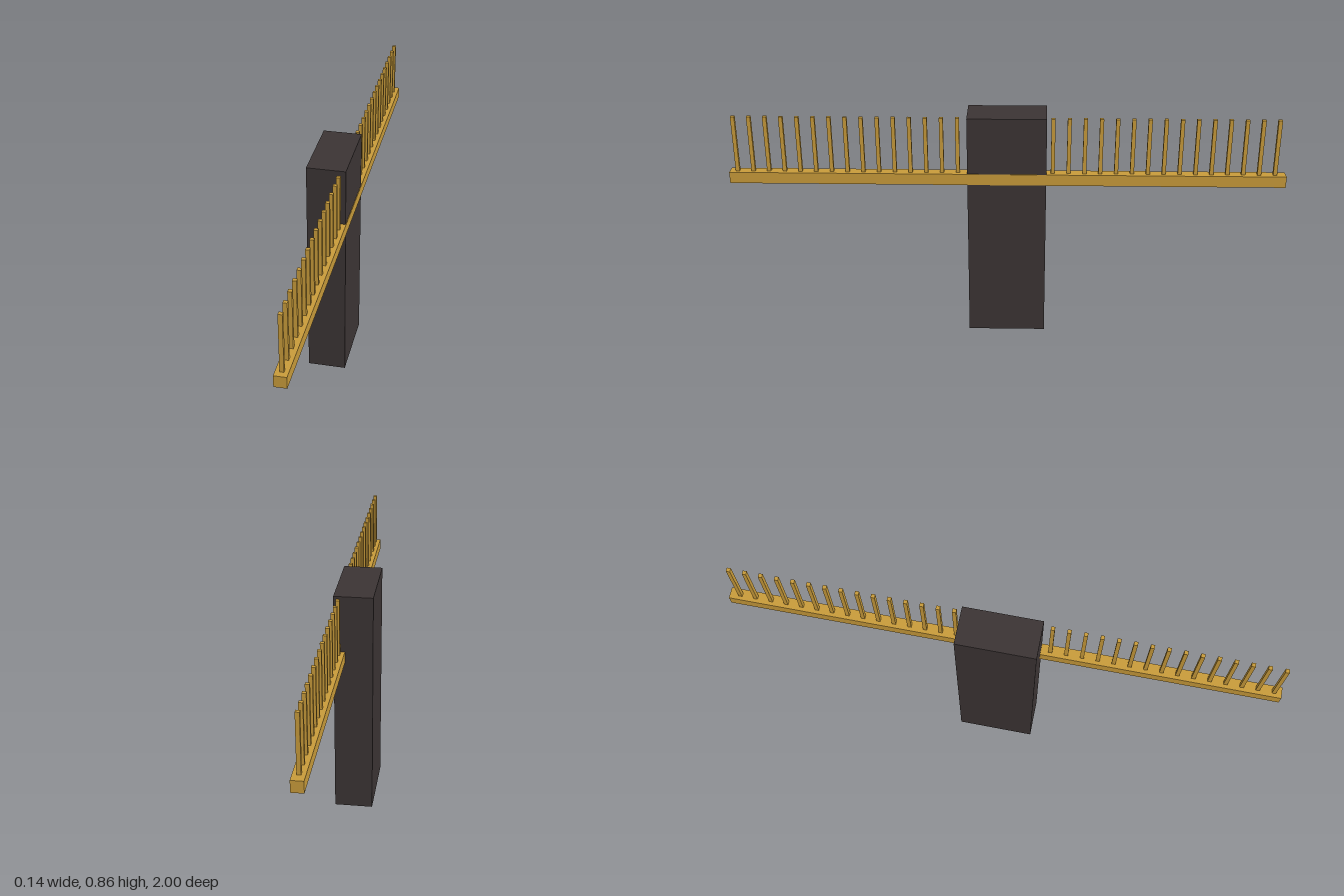
import * as THREE from 'three';

export function createModel() {
  const model = new THREE.Group();
  const charcoal = new THREE.MeshStandardMaterial({ color: 0x3b3434 });
  charcoal.name = 'charcoal';
  const ochre = new THREE.MeshStandardMaterial({ color: 0xc89b3a });
  ochre.name = 'ochre';

  // Box given by its minimum and maximum corners
  function box(name, material, min, max, parent = model) {
    const size = max.map((v, i) => v - min[i]);
    const mesh = new THREE.Mesh(new THREE.BoxGeometry(...size), material);
    mesh.position.set(...max.map((v, i) => (v + min[i]) / 2));
    mesh.name = name;
    parent.add(mesh);
  }

  // Upright post and the long rail let into its left face
  box('post', charcoal, [-0.071, 0, -0.142], [0.069, 0.855, 0.142]);
  box('rail', ochre, [0.029, 0.602, -1], [0.071, 0.644, 1]);

  // Evenly spaced square pegs along the rail
  const pegs = new THREE.Group();
  pegs.name = 'pegs';
  model.add(pegs);
  const count = 35, half = 0.007, x = 0.05;
  for (let i = 0; i < count; i++) {
    const z = 0.972 - i * 0.05685;
    box('peg', ochre, [x - half, 0.64, z - half], [x + half, 0.852, z + half], pegs);
  }
  return model;
}
